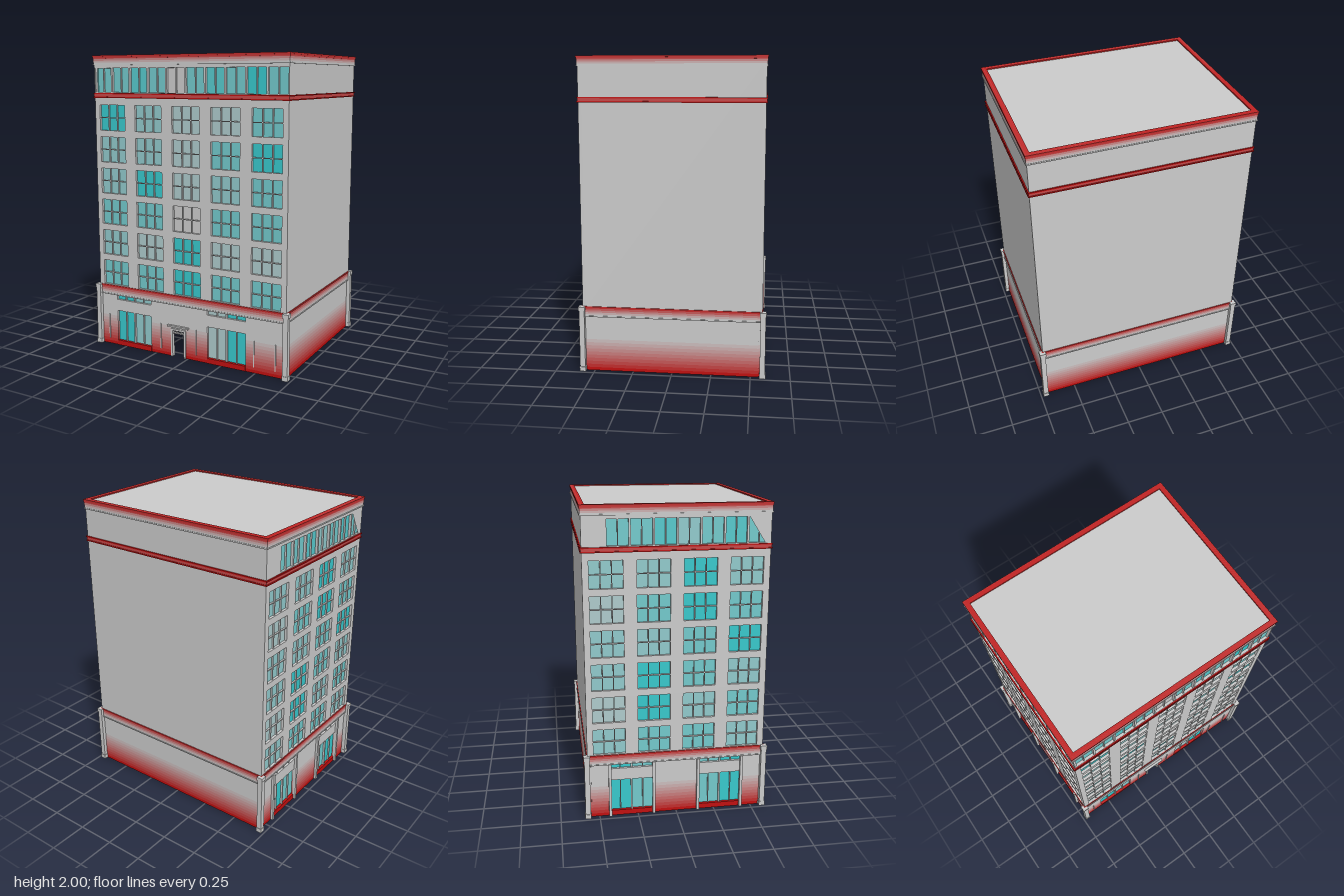
import * as THREE from 'three';
import { mergeGeometries } from 'three/addons/utils/BufferGeometryUtils.js';

const GREY = 0xcccccc, RED = 0xc01010, CYAN = 0x38c8cc;
const HX = 0.712, HZ = 0.571; // half size of the tower
const T = 0.02; // wall thickness

const cache = new Map();
function mat(color) {
  const key = new THREE.Color(color).getHex();
  if (!cache.has(key)) cache.set(key, new THREE.MeshStandardMaterial({ color: key, side: THREE.DoubleSide }));
  return cache.get(key);
}
// Blend in display space, from a to b
function mix(a, b, t) {
  const ch = s => Math.round(((a >> s) & 255) * (1 - t) + ((b >> s) & 255) * t) << s;
  return ch(16) | ch(8) | ch(0);
}
function add(parent, name, geometry, color = GREY) {
  const mesh = new THREE.Mesh(geometry, mat(color));
  mesh.name = name;
  parent.add(mesh);
  return mesh;
}
// Box given by its limits
function box(x0, x1, y0, y1, z0, z1) {
  return new THREE.BoxGeometry(x1 - x0, y1 - y0, z1 - z0)
    .translate((x0 + x1) / 2, (y0 + y1) / 2, (z0 + z1) / 2);
}
function rect(Type, x0, x1, y0, y1) {
  const s = new Type();
  s.moveTo(x0, y0); s.lineTo(x1, y0); s.lineTo(x1, y1); s.lineTo(x0, y1); s.closePath();
  return s;
}
// Rectangular band around the whole building
function ring(parent, name, y0, y1, out, thick, color) {
  const x = HX + out, z = HZ + out;
  const s = rect(THREE.Shape, -x, x, -z, z);
  s.holes.push(rect(THREE.Path, -x + thick, x - thick, -z + thick, z - thick));
  const g = new THREE.ExtrudeGeometry(s, { depth: y1 - y0, bevelEnabled: false });
  add(parent, name, g.rotateX(-Math.PI / 2).translate(0, y0, 0), color);
}
// Cornice fading from red at the top to grey, with a lip at each edge
function cornice(parent, y0, y1, out) {
  const n = 5, h = (y1 - y0) / n;
  for (let i = 0; i < n; i++)
    ring(parent, 'cornice', y0 + i * h, y0 + (i + 1) * h, out, 0.03, mix(GREY, RED, (i / (n - 1)) ** 1.3 * 0.9));
  ring(parent, 'corniceLip', y0 - 0.004, y0 + 0.004, out + 0.003, 0.03, GREY);
  ring(parent, 'corniceLip', y1 - 0.01, y1, out + 0.004, 0.03, mix(GREY, RED, 0.85));
}

// Wall panel with window holes, glass and glazing bars; its outer face is z = 0
function windowWall(parent, name, half, y0, y1, windows, cols, rows) {
  const s = rect(THREE.Shape, -half, half, y0, y1), bars = [];
  for (const w of windows) {
    s.holes.push(rect(THREE.Path, w.x0, w.x1, w.y0, w.y1));
    glazing(parent, bars, w, cols, rows);
  }
  add(parent, name, new THREE.ExtrudeGeometry(s, { depth: T, bevelEnabled: false }).translate(0, 0, -T));
  add(parent, 'glazingBars', mergeGeometries(bars));
}
function glazing(parent, bars, { x0, x1, y0, y1, tint }, cols, rows) {
  const w = 0.003;
  add(parent, 'glass', box(x0, x1, y0, y1, -T, -T + 0.003), mix(GREY, CYAN, tint / 5));
  for (let i = 1; i < cols; i++) {
    const x = x0 + (x1 - x0) * i / cols;
    bars.push(box(x - w, x + w, y0, y1, -T, -0.006));
  }
  for (let i = 1; i < rows; i++) {
    const y = y0 + (y1 - y0) * i / rows;
    bars.push(box(x0, x1, y - w, y + w, -T, -0.006));
  }
}

// Ground-floor pier, fading from red at the pavement to grey
function pier(parent, x0, x1) {
  const n = 10, top = 0.21;
  for (let i = 0; i < n; i++)
    add(parent, 'baseWall', box(x0, x1, top * i / n, top * (i + 1) / n, -T, 0), mix(RED, GREY, (i / n) ** 0.8));
  add(parent, 'baseWall', box(x0, x1, top, 0.37, -T, 0));
}
function shopWindow(parent, x0, x1, tints) {
  const bars = [], mid = (x0 + x1) / 2;
  add(parent, 'windowSill', box(x0, x1, 0, 0.035, -T, 0.002), RED);
  add(parent, 'windowLintel', box(x0, x1, 0.25, 0.33, -T, 0));
  [[x0, mid - 0.005], [mid + 0.005, x1]].forEach(([a, b], i) => {
    glazing(parent, bars, { x0: a, x1: b, y0: 0.035, y1: 0.25, tint: tints[i] }, 2, 1);
    glazing(parent, bars, { x0: a, x1: b, y0: 0.33, y1: 0.37, tint: tints[i] }, 2, 1);
  });
  bars.push(box(mid - 0.005, mid + 0.005, 0.035, 0.25, -T, -0.003));
  bars.push(box(mid - 0.005, mid + 0.005, 0.33, 0.37, -T, -0.003));
  add(parent, 'shopWindowBars', mergeGeometries(bars));
}

// Tower windows and attic windows of one street side
function streetSide(parent, half, tints, atticTints) {
  const windows = [], attic = [], cols = tints[0].length, n = atticTints.length;
  tints.forEach((row, r) => [...row].forEach((t, c) => {
    const x = (c - (cols - 1) / 2) * 0.286, y = 1.588 - r * 0.2138;
    windows.push({ x0: x - 0.102, x1: x + 0.102, y0: y - 0.085, y1: y + 0.085, tint: +t });
  }));
  [...atticTints].forEach((t, c) => {
    const x = (c - (n - 1) / 2) * 0.1425;
    attic.push({ x0: x - 0.065, x1: x + 0.065, y0: 1.758, y1: 1.915, tint: +t });
  });
  windowWall(parent, 'towerWall', half, 0.42, 1.73, windows, 3, 2);
  windowWall(parent, 'atticWall', half, 1.73, 1.95, attic, 2, 1);
}

export function createModel() {
  const model = new THREE.Group();
  model.name = 'building';

  // A side group looks outwards along its own z
  const side = (name, angle, dist) => {
    const tower = new THREE.Group(), base = new THREE.Group();
    tower.name = name + 'Tower';
    base.name = name + 'Base';
    for (const [g, d] of [[tower, dist], [base, dist - 0.004]]) {
      g.rotation.y = angle;
      g.position.set(Math.sin(angle) * d, 0, Math.cos(angle) * d);
      model.add(g);
    }
    return { tower, base };
  };
  const front = side('front', 0, HZ), rightHand = side('plusX', Math.PI / 2, HX);
  const back = side('back', Math.PI, HZ), street = side('minusX', -Math.PI / 2, HX);

  // Upper floors
  streetSide(front.tower, HX, ['52113', '22135', '25123', '33033', '21511', '33533'], '3343034353');
  streetSide(street.tower, HZ - T, ['2252', '1353', '2235', '2532', '1523', '2332'], '23342343');
  add(back.tower, 'blankWall', box(-HX, HX, 0.42, 1.95, -T, 0));
  add(rightHand.tower, 'blankWall', box(-HZ + T, HZ - T, 0.42, 1.95, -T, 0));

  // Ground floor
  [[-0.7, -0.57], [-0.29, -0.13], [-0.015, 0.15], [0.43, 0.7]].forEach(([a, b]) => pier(front.base, a, b));
  shopWindow(front.base, -0.57, -0.29, [5, 2]);
  shopWindow(front.base, 0.15, 0.43, [1, 5]);
  [[-0.55, -0.43], [-0.15, 0.145], [0.43, 0.55]].forEach(([a, b]) => pier(street.base, a, b));
  shopWindow(street.base, -0.43, -0.15, [5, 3]);
  shopWindow(street.base, 0.145, 0.43, [3, 5]);
  pier(back.base, -0.7, 0.7);
  pier(rightHand.base, -0.55, 0.55);
  for (const x of [-0.64, -0.21, 0.065, 0.49, 0.64])
    add(front.base, 'wallStrip', box(x - 0.003, x + 0.003, 0.04, 0.215, 0, 0.006));
  for (const z of [-0.43, -0.147, 0.143, 0.43])
    add(street.base, 'pilaster', box(z - 0.009, z + 0.009, 0, 0.365, -0.005, 0.017));

  // Open doorway with frame, fanlight and canopy
  const door = front.base, left = -0.13, right = -0.015;
  add(door, 'wallOverDoor', box(left, right, 0.19, 0.37, -T, 0));
  for (const x of [left, right - 0.014])
    add(door, 'doorJamb', box(x, x + 0.014, 0, 0.19, -T, 0.006));
  add(door, 'doorHead', box(left, right, 0.182, 0.195, -T, 0.006));
  add(door, 'fanlightRail', box(left, right, 0.16, 0.167, -T, 0));
  for (const x of [-0.092, -0.058])
    add(door, 'fanlightBar', box(x, x + 0.005, 0.165, 0.185, -T, 0));
  add(door, 'doorCanopy', box(-0.153, 0.01, 0.208, 0.219, -0.005, 0.017));

  // Corner pillars with a plinth and cap
  for (const sx of [-1, 1]) for (const sz of [-1, 1]) {
    const pillar = new THREE.Group();
    pillar.name = 'cornerPillar';
    pillar.position.set(sx * 0.715, 0, sz * 0.575);
    add(pillar, 'pillarShaft', box(-0.017, 0.017, 0.02, 0.41, -0.017, 0.017));
    add(pillar, 'pillarPlinth', box(-0.02, 0.02, 0, 0.03, -0.02, 0.02));
    add(pillar, 'pillarCap', box(-0.021, 0.021, 0.405, 0.43, -0.021, 0.021));
    model.add(pillar);
  }

  // Cornices, string course and roof
  cornice(model, 0.365, 0.43, 0.002);
  ring(model, 'stringCourse', 1.725, 1.75, 0.004, 0.02, mix(GREY, RED, 0.7));
  ring(model, 'stringCourseLip', 1.72, 1.728, 0.008, 0.02, RED);
  ring(model, 'stringCourseLip', 1.745, 1.753, 0.008, 0.02, RED);
  cornice(model, 1.94, 2, 0.004);
  ring(model, 'parapet', 1.98, 2, 0.006, 0.016, mix(GREY, RED, 0.8));
  add(model, 'roof', box(-HX, HX, 1.975, 1.992, -HZ, HZ));
  return model;
}
